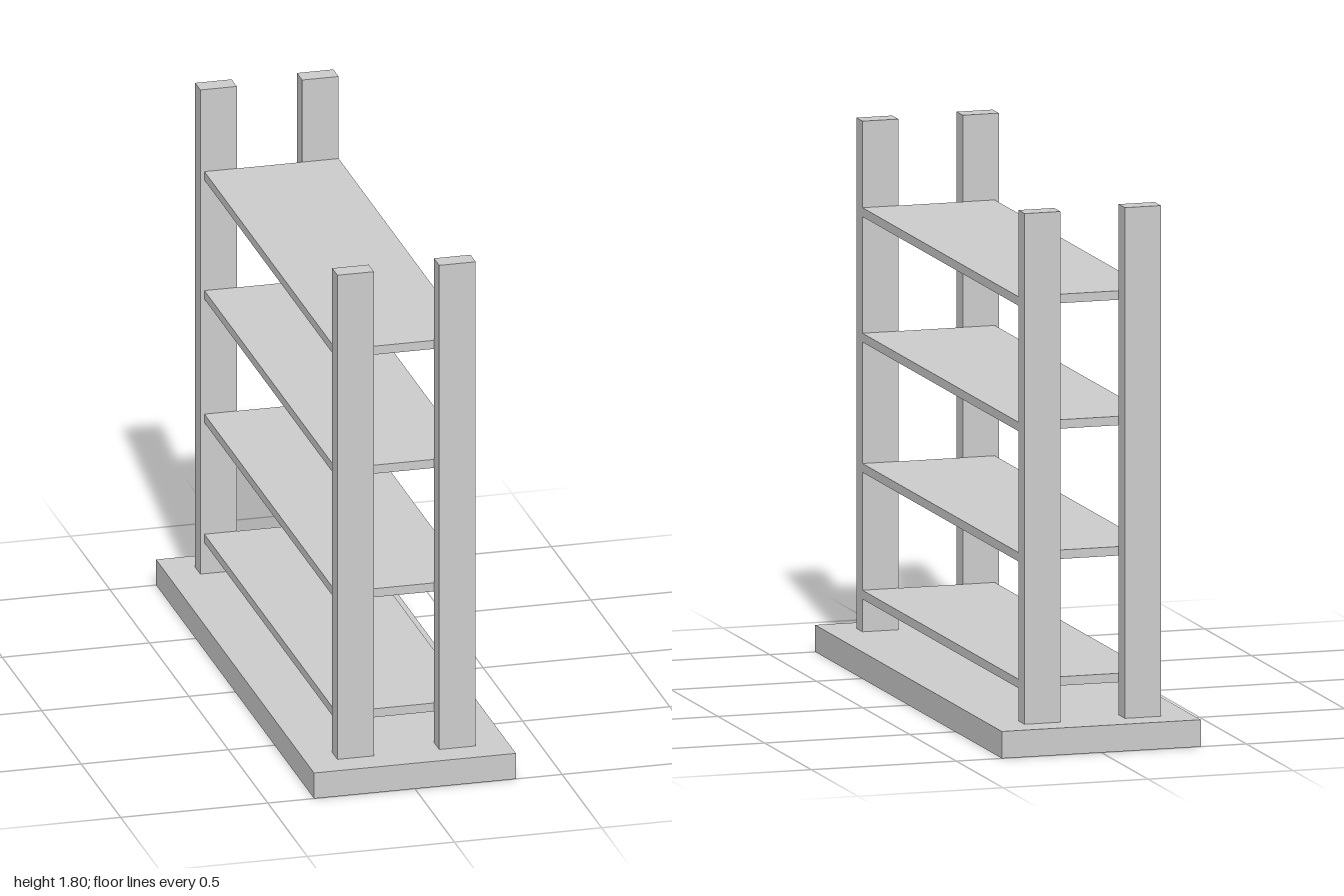
import * as THREE from 'three';

export function createModel() {
  const group = new THREE.Group();
  const material = new THREE.MeshStandardMaterial({ color: 0xcccccc, flatShading: true });

  // Box given by its centre in x and z, its underside and its size
  function addBox(name, [w, h, d], x, bottom, z) {
    const mesh = new THREE.Mesh(new THREE.BoxGeometry(w, h, d), material);
    mesh.name = name;
    mesh.position.set(x, bottom + h / 2, z);
    group.add(mesh);
  }

  // Base slab
  const baseHeight = 0.09;
  addBox('base', [0.686, baseHeight, 2], 0, 0, 0);

  // Four corner posts standing on the base
  for (const [side, x] of [['Left', 0.171], ['Right', -0.175]]) {
    for (const [end, z] of [['front', 0.868], ['back', -0.868]]) {
      addBox(`${end}${side}Post`, [0.124, 1.705, 0.066], x, baseHeight, z);
    }
  }

  // Four thin shelves held between the posts
  [0.199, 0.622, 1.057, 1.476].forEach((bottom, i) => {
    addBox(`shelf${i + 1}`, [0.456, 0.03, 1.67], 0.005, bottom, 0);
  });

  return group;
}
